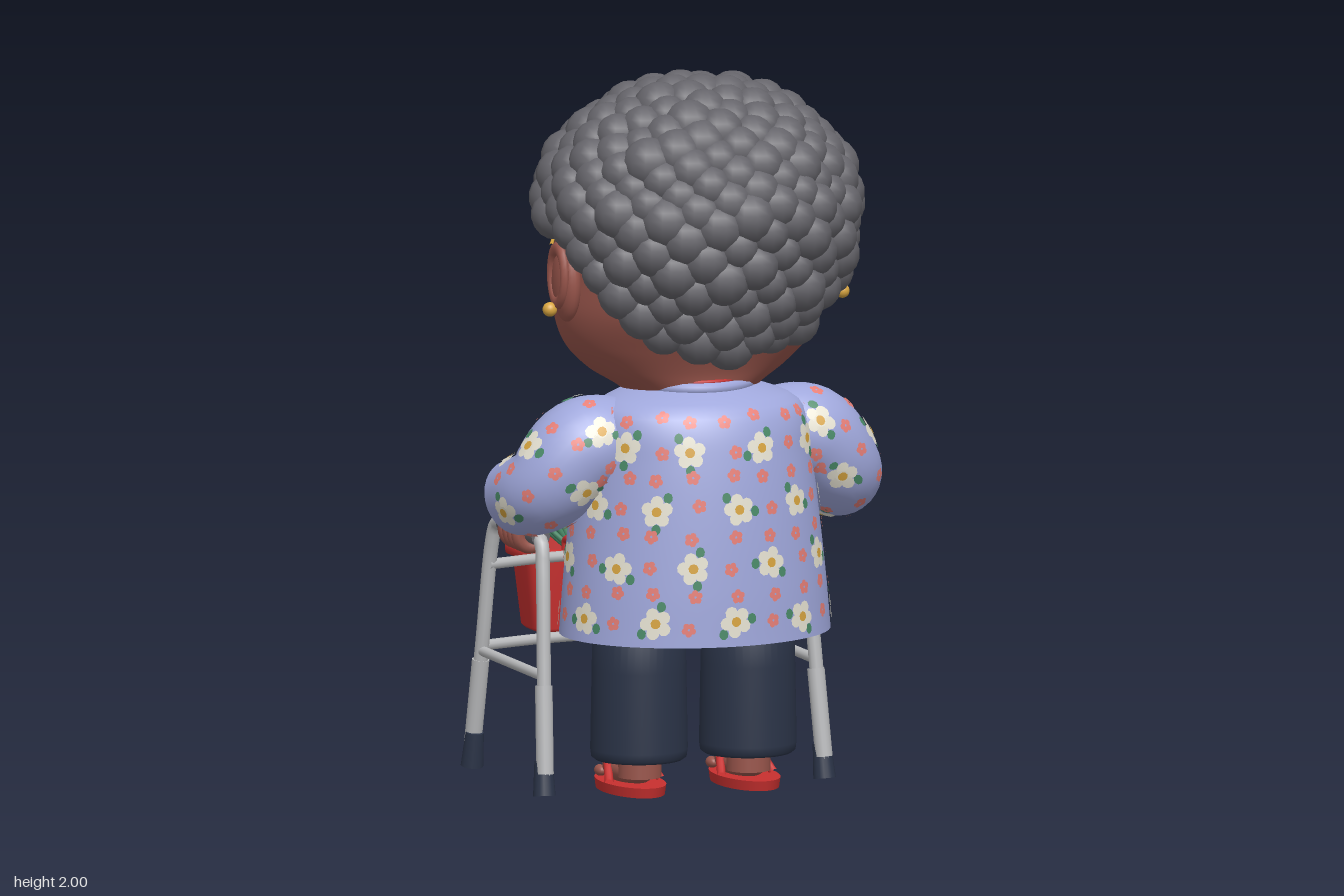
import * as THREE from 'three';
import { mergeGeometries } from 'three/addons/utils/BufferGeometryUtils.js';

const V = (x, y, z) => new THREE.Vector3(x, y, z);
const paint = (name, color) => Object.assign(new THREE.MeshStandardMaterial({ color }), { name });

// value table with smooth interpolation; the first column is the key
function sample(rows, y) {
  let i = 0;
  while (i < rows.length - 2 && y > rows[i + 1][0]) i++;
  const b = rows[i], c = rows[i + 1], a = rows[i - 1] || b, d = rows[i + 2] || c;
  const h = c[0] - b[0], t = (y - b[0]) / h, t2 = t * t, t3 = t2 * t;
  return b.map((_, k) => b[k] * (2 * t3 - 3 * t2 + 1) + c[k] * (3 * t2 - 2 * t3)
    + (c[k] - a[k]) / (c[0] - a[0]) * h * (t3 - 2 * t2 + t) + (d[k] - b[k]) / (d[0] - b[0]) * h * (t3 - t2));
}
// closed cross-section [y, half width, front z, back z]; angle 0 faces -z
function ringPoint(rows, y, a) {
  const [, w, f, b] = sample(rows, y);
  return V(w * Math.sin(a), y, (f + b) / 2 - (b - f) / 2 * Math.cos(a));
}
// surface from loops: us are row keys, nv steps around
function loft(fn, us, nv) {
  const pos = [], idx = [];
  us.forEach((u, i) => {
    for (let j = 0; j < nv; j++) {
      pos.push(...fn(u, j / nv * Math.PI * 2).toArray());
      if (i === us.length - 1) continue;
      const A = i * nv + j, B = i * nv + (j + 1) % nv, C = A + nv, D = B + nv;
      idx.push(A, C, D, A, D, B);
    }
  });
  return build(pos, idx);
}
function build(pos, idx) {
  const g = new THREE.BufferGeometry();
  g.setAttribute('position', new THREE.Float32BufferAttribute(pos, 3));
  g.setIndex(idx);
  g.computeVertexNormals();
  return g;
}
const steps = (a, b, n) => Array.from({ length: n + 1 }, (_, i) => a + (b - a) * i / n);
function mirror(geo) {
  const g = geo.clone().scale(-1, 1, 1), ix = g.index.array;
  for (let i = 0; i < ix.length; i += 3) [ix[i], ix[i + 1]] = [ix[i + 1], ix[i]];
  return g;
}
// tapering limb along a path
function limb(points, radii, ref) {
  const curve = new THREE.CatmullRomCurve3(points);
  const rows = radii.map((r, i) => [i / (radii.length - 1), r]);
  return (u, a) => {
    const t = THREE.MathUtils.clamp(u, 0, 1), T = curve.getTangent(t);
    const N = ref.clone().cross(T).normalize(), B = N.clone().cross(T), r = sample(rows, t)[1];
    return curve.getPoint(t).addScaledVector(N, r * Math.cos(a)).addScaledVector(B, r * Math.sin(a));
  };
}
// thin disc laid on a surface fn(u, v); q and p are offsets along u and v
function disc(fn, u, v, q, p, rq, rp, lift) {
  const e = 0.005, o = fn(u, v), du = fn(u + e, v).sub(o).divideScalar(e), dv = fn(u, v + e).sub(o).divideScalar(e);
  const n = du.clone().cross(dv).normalize(), pos = [], idx = [], N = 9;
  const lu = Math.max(du.length(), .2), lv = Math.max(dv.length(), .05);
  for (let i = 0; i <= N; i++) {
    const k = i ? 1 : 0, t = i / N * Math.PI * 2;
    pos.push(...fn(u + (q + k * rq * Math.cos(t)) / lu, v + (p + k * rp * Math.sin(t)) / lv)
      .addScaledVector(n, lift).toArray());
    if (i) idx.push(0, i, i % N + 1);
  }
  return build(pos, idx);
}
function tube(points, r, n = 40) {
  return new THREE.TubeGeometry(new THREE.CatmullRomCurve3(points, false, 'centripetal'), n, r, 10);
}
function ball(x, y, z, rx, ry = rx, rz = rx) {
  return new THREE.SphereGeometry(1, 24, 16).scale(rx, ry, rz).translate(x, y, z);
}
function rod(a, b, ra, rb) {
  const d = b.clone().sub(a), g = new THREE.CylinderGeometry(rb, ra, d.length(), 16);
  g.applyQuaternion(new THREE.Quaternion().setFromUnitVectors(V(0, 1, 0), d.clone().normalize()));
  return g.translate(...a.clone().add(b).multiplyScalar(0.5).toArray());
}

export function createModel() {
  const root = new THREE.Group();
  const hair = paint('grey', 0x66656b), skin = paint('skin', 0x9a564c), cloth = paint('periwinkle', 0xa0a8dc);
  const navy = paint('navy', 0x2b3448), red = paint('red', 0xc8302f), metal = paint('metal', 0xb8b9bb);
  const gold = paint('gold', 0xd8a540), coral = paint('coral', 0xe88078), green = paint('green', 0x4a8a68);
  const white = paint('white', 0xece8d8);
  cloth.side = THREE.DoubleSide;
  const add = (name, geo, mat) => {
    const m = new THREE.Mesh(Array.isArray(geo) ? mergeGeometries(geo) : geo, mat);
    m.name = name; root.add(m);
  };
  const pair = (name, geo, mat) => { add(name + 'Left', geo, mat); add(name + 'Right', mirror(geo), mat); };
  let seed = 7;
  const rnd = () => (seed = seed * 16807 % 2147483647) / 2147483647;

  // head with cheeks and an open mouth pressed into the face
  const headRows = [[1.07, .13, .02, .31], [1.13, .2, -.05, .33], [1.18, .28, -.075, .34], [1.25, .35, -.09, .37],
    [1.34, .385, -.115, .42], [1.45, .39, -.13, .46], [1.55, .385, -.135, .5], [1.65, .37, -.13, .5],
    [1.75, .32, -.09, .47], [1.85, .18, .04, .37], [1.88, .01, .19, .21]];
  const bump = (x, y, cx, cy, s) => Math.exp(-((x - cx) ** 2 + (y - cy) ** 2) / (s * s));
  const face = (y, a) => {
    const p = ringPoint(headRows, y, a);
    if (Math.cos(a) > 0) p.z -= .03 * bump(Math.abs(p.x), y, .17, 1.38, .08) + .02 * bump(p.x, y, 0, 1.14, .07);
    return p;
  };
  add('head', loft((y, a) => {
    const p = face(y, a);
    const r = (p.x / .125) ** 2 + ((y - 1.265) / .085) ** 2;
    if (Math.cos(a) > 0) p.z += .1 * (1 - THREE.MathUtils.smoothstep(r, .65, 1.1));
    return p;
  }, steps(1.07, 1.88, 90), 128), skin);
  const onFace = (x, y, out = 0) => {
    const p = face(y, Math.asin(x / sample(headRows, y)[1]));
    p.z -= out; return p;
  };
  add('lips', tube(steps(0, Math.PI * 2, 32).map(t => onFace(.125 * Math.cos(t), 1.265 + .085 * Math.sin(t))), .014, 64), skin);
  add('teeth', tube(steps(-.085, .085, 8).map(x => onFace(x, 1.328 - x * x * 2, -.02)), .017), white);
  add('tongue', ball(0, 1.215, -.04, .07, .025, .05), coral);
  add('nose', [ball(0, 1.43, -.175, .043, .043, .052), ball(.038, 1.42, -.15, .026), ball(-.038, 1.42, -.15, .026),
    ball(0, 1.49, -.13, .03, .07, .035)], skin);
  const at = (x, y, fx, fy, lift) => disc(face, y, Math.asin(x / sample(headRows, y)[1]), 0, 0, fy, fx, lift);
  pair('eyeWhite', at(.14, 1.51, .045, .018, .005), white);
  pair('pupil', at(.135, 1.512, .016, .015, .008), navy);
  pair('eyelid', tube([onFace(.085, 1.505, .004), onFace(.14, 1.532, .006), onFace(.2, 1.515, .004)], .008), navy);
  pair('eyeBag', tube([onFace(.09, 1.48), onFace(.14, 1.465), onFace(.2, 1.48)], .012), skin);
  pair('eyebrow', tube([onFace(.045, 1.57, .008), onFace(.12, 1.62, .008), onFace(.21, 1.645, .006)], .015), navy);
  pair('ear', mergeGeometries([ball(.385, 1.44, .215, .035, .11, .068),
    new THREE.TorusGeometry(.05, .013, 8, 24).scale(1, 1.5, 1).rotateY(Math.PI / 2).translate(.41, 1.46, .215)]), skin);
  pair('earring', ball(.43, 1.365, .205, .02), gold);

  // curly hair: bumps spread over a cap, kept above the hairline
  const curls = [], hairline = [[-.3, 1.72], [.03, 1.68], [.18, 1.59], [.33, 1.5], [.42, 1.25], [.7, 1.2]];
  for (let i = 0; i < 320; i++) {
    const h = 1 - (i + .5) / 160, s = Math.sqrt(1 - h * h), t = i * 2.39996, k = .98 + .04 * rnd();
    const c = Math.cos(t);
    const x = .4 * s * Math.sin(t) * k, y = 1.62 + h * (h > 0 ? .31 : .42) * k, z = .21 + s * c * (c > 0 ? .36 : .345) * k;
    if (y > sample(hairline, z)[1]) curls.push(new THREE.SphereGeometry(.062 + .014 * rnd(), 12, 9).translate(x, y, z));
  }
  add('hair', curls, hair);

  // glasses
  const lens = new THREE.TorusGeometry(.09, .005, 6, 40).translate(.16, 1.525, -.19);
  const temple = tube([V(.25, 1.53, -.19), V(.28, 1.53, -.17), V(.325, 1.535, -.03), V(.42, 1.54, .19)], .005);
  pair('glasses', mergeGeometries([lens, temple]), gold);
  add('glassesBridge', tube([V(-.075, 1.54, -.19), V(0, 1.555, -.195), V(.075, 1.54, -.19)], .005), gold);

  // tunic
  const tunicRows = [[.45, .38, -.12, .51], [.6, .367, -.12, .505], [.8, .345, -.11, .49], [.95, .325, -.07, .47],
    [1.05, .31, -.02, .445], [1.1, .27, .01, .41], [1.14, .15, .03, .33]];
  const tunic = (y, a) => ringPoint(tunicRows, y, a);
  add('tunic', loft(tunic, steps(.45, 1.14, 40), 64), cloth);
  const ring = (y, w, f, b) => steps(0, Math.PI * 2, 24).map(a => V(w * Math.sin(a), y, (f + b) / 2 - (b - f) / 2 * Math.cos(a)));
  add('collar', tube(ring(1.14, .16, .0, .335), .018, 64), cloth);
  add('collarTrim', tube(ring(1.158, .158, -.005, .335), .006, 64), red);
  const sleeve = limb([V(.2, .99, .2), V(.33, .97, .195), V(.43, .865, .17), V(.465, .82, .04)],
    [.12, .14, .122, .105], V(.5, .8, -.4));
  pair('sleeve', loft(sleeve, steps(0, 1, 24), 32), cloth);

  // floral print
  const prints = { petals: [[], white], hearts: [[], gold], leaves: [[], green], blossoms: [[], coral] };
  function flower(fn, u, v, big, side) {
    const put = (key, ...o) => {
      const g = disc(fn, u, v, ...o);
      prints[key][0].push(side < 0 ? mirror(g) : g);
    };
    const turn = rnd() * 6, d = big ? .027 : .0115, r = big ? .0185 : .009;
    for (let k = 0; k < 5; k++) {
      const t = turn + k * Math.PI * .4;
      put(big ? 'petals' : 'blossoms', d * Math.cos(t), d * Math.sin(t), r, r, big ? .005 : .004);
    }
    if (!big) return;
    put('petals', 0, 0, .018, .018, .0055);
    put('hearts', 0, 0, .014, .014, .008);
    for (const t of [turn + .6, turn + 3.1]) put('leaves', .049 * Math.cos(t), .049 * Math.sin(t), .015, .013, .0035);
  }
  function scatter(fn, us, nv, side) {
    us.forEach((u, i) => {
      for (let j = 0; j < nv; j++) {
        const big = i % 2 === 0 && j % 2 === (i / 2) % 2;
        const v = (j + (rnd() - .5) * .3) / nv * Math.PI * 2;
        flower(fn, u + (rnd() - .5) * (us[1] - us[0]) * .25, v, big, side);
      }
    });
  }
  scatter(tunic, steps(.51, 1.07, 7), 20, 1);
  for (const s of [1, -1]) scatter(sleeve, steps(.26, .8, 4), 8, s);
  for (const [name, [list, mat]] of Object.entries(prints)) add(name, list, mat);

  // side fastening with knots
  const seam = [[0, 1.125], [.35, 1.01], [.8, .94], [1.3, .88], [1.45, .7], [1.45, .46]];
  add('fastening', tube(seam.map(([a, y]) => tunic(y, a)), .006, 60), red);
  const knots = [];
  for (const [a, y] of [[.35, 1.01], [1.26, .64], [.9, .55]]) {
    for (const [da, dy] of [[0, 0], [.06, 0], [-.06, 0], [0, .022], [0, -.022]]) {
      const p = tunic(y + dy, a + da);
      knots.push(ball(p.x, p.y, p.z, .011));
    }
  }
  add('knots', knots, red);

  // arms and hands closed round the grips
  pair('forearm', loft(limb([V(.45, .84, .12), V(.455, .81, .04), V(.42, .765, -.04), V(.385, .72, -.1)],
    [.07, .062, .052, .05], V(.5, .8, -.4)), steps(0, 1, 14), 24), skin);
  const hand = [ball(.385, .715, -.1, .052, .055, .065), ball(.335, .725, -.1, .022, .024, .05)];
  for (let i = 0; i < 4; i++) {
    hand.push(new THREE.TorusGeometry(.037, .019, 10, 20, 4.4).rotateZ(-2.2).translate(.385, .7, -.055 - i * .034));
  }
  pair('hand', mergeGeometries(hand), skin);
  add('bracelet', new THREE.TorusGeometry(.057, .011, 10, 32).rotateX(.5).rotateY(.35).translate(-.422, .767, -.03), green);

  // trousers, feet and sandals
  pair('trouserLeg', new THREE.LatheGeometry([[0, .1], [.12, .1], [.131, .108], [.134, .13], [.13, .35], [.125, .62], [0, .62]]
    .map(([x, y]) => new THREE.Vector2(x, y)), 40).translate(.16, 0, .185), navy);
  const foot = [ball(.165, .065, .12, .062, .045, .12), rod(V(.16, .05, .19), V(.16, .14, .19), .06, .06)];
  for (let i = 0; i < 5; i++) foot.push(ball(.117 + i * .025, .048, .015 + Math.abs(i - 1) * .008, .015, .016, .025));
  pair('foot', mergeGeometries(foot), skin);
  pair('sandalSole', new THREE.CylinderGeometry(1, .96, .028, 40).scale(.085, 1, .162).translate(.168, .02, .14), red);
  const strap = [-1, 1].map(s => tube([V(.165, .04, .015), V(.165, .085, .05), V(.165 + s * .05, .09, .1), V(.165 + s * .077, .035, .17)], .012));
  pair('sandalStrap', mergeGeometries(strap), red);

  // walking frame
  pair('frameSide', tube([V(.41, .05, .118), V(.398, .36, .078), V(.386, .62, .04), V(.382, .68, .022), V(.38, .7, -.02),
    V(.38, .7, -.14), V(.38, .7, -.27), V(.382, .685, -.32), V(.386, .63, -.342), V(.398, .36, -.38), V(.41, .05, -.425)], .02, 90), metal);
  pair('grip', rod(V(.38, .7, .01), V(.38, .7, -.26), .027, .027), hair);
  pair('sideBar', rod(V(.4, .325, .08), V(.4, .325, -.385), .014, .014), metal);
  for (const [end, z, k] of [['back', .118, -1], ['front', -.425, 1]]) {
    pair(end + 'LegSleeve', rod(V(.41, .06, z), V(.4, .3, z + k * .035), .024, .024), metal);
    pair(end + 'FootCap', rod(V(.412, 0, z), V(.409, .095, z + k * .014), .031, .025), navy);
  }
  for (const [name, y, z, mid] of [['upperBar', .57, -.345, -.405], ['lowerBar', .34, -.382, -.44]]) {
    add(name, tube([V(-.395, y, z), V(-.2, y, mid + .012), V(0, y, mid), V(.2, y, mid + .012), V(.395, y, z)], .015), metal);
  }

  // basket: [half length, half depth, height], doubled rows keep hard edges
  const wall = [[0, 0, .35], [.2, .078, .35], [.21, .085, .36], [.232, .1, .555], [.232, .1, .555], [.248, .117, .555],
    [.25, .118, .565], [.25, .118, .575], [.246, .115, .583], [.225, .094, .583], [.225, .094, .583], [.2, .075, .4], [.2, .075, .4], [0, 0, .4]];
  const sq = c => Math.sign(c) * Math.abs(c) ** .38;
  add('basket', loft((i, a) => V(wall[i][0] * sq(Math.sin(a)), wall[i][2], -.528 - wall[i][1] * sq(Math.cos(a))),
    steps(0, wall.length - 1, wall.length - 1), 64), red);
  pair('basketHook', tube([V(.14, .56, -.42), V(.14, .61, -.415), V(.14, .615, -.385), V(.14, .57, -.375)], .011), red);
  add('fruit', [ball(.15, .555, -.565, .05), ball(.082, .56, -.522, .052)], gold);
  const stalks = [], leaves = [];
  for (let i = 0; i < 5; i++) {
    const z = -.575 + i * .013, base = V(-.07, .56, z);
    stalks.push(rod(V(.01, .43, z), base, .012, .01));
    for (let k = 0; k < 3; k++) {
      leaves.push(rod(base, V(-.14 - .12 * rnd(), .7 + .14 * rnd(), -.5 - .09 * rnd()), .01, .003));
    }
  }
  add('onionStalks', stalks, white);
  add('onionLeaves', leaves, green);
  return root;
}
